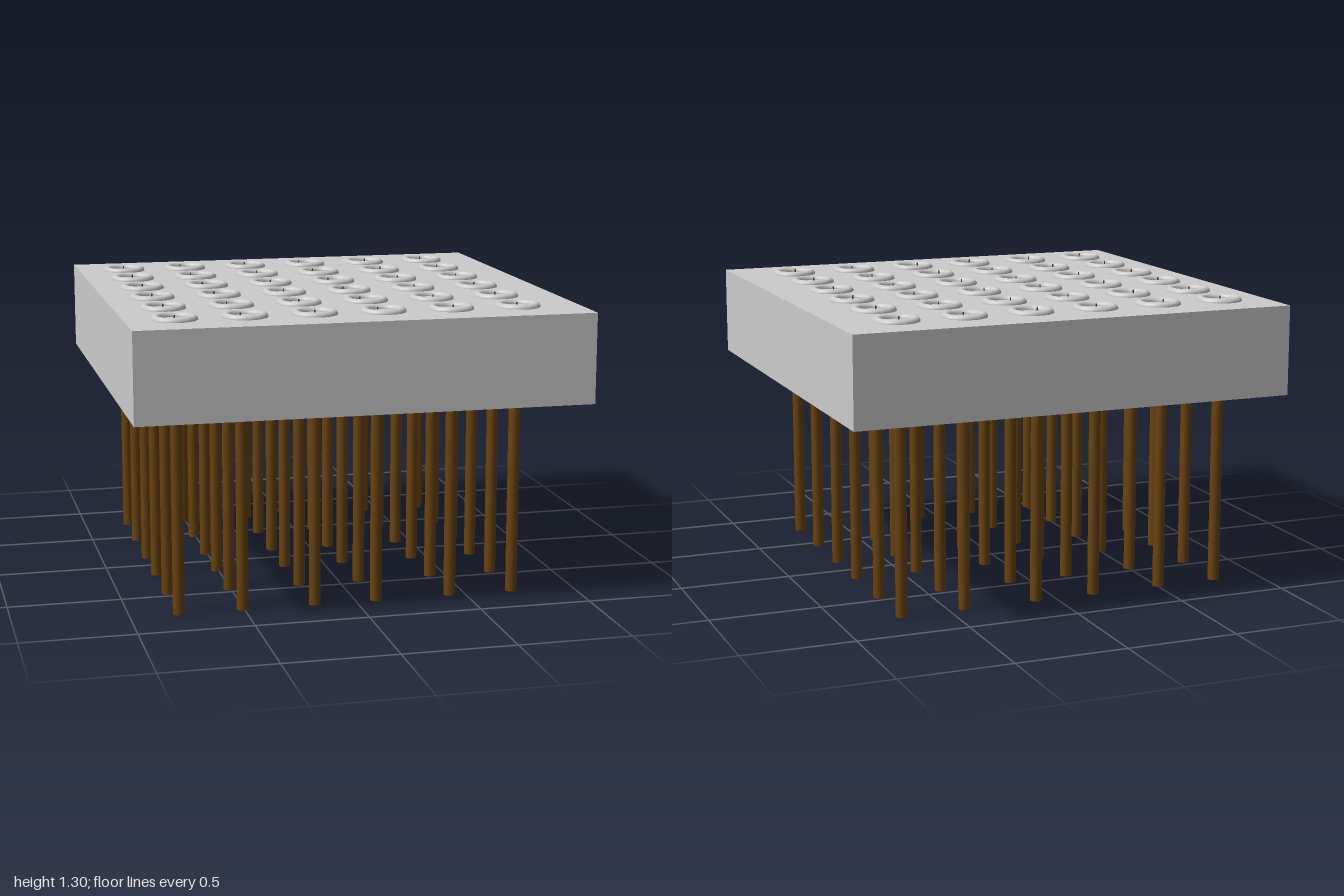
import * as THREE from 'three';

export function createModel() {
  const model = new THREE.Group();
  const grey = new THREE.MeshStandardMaterial({ color: 0xcccccc });
  const brown = new THREE.MeshStandardMaterial({ color: 0x68420f });

  const bottom = 0.885, top = 1.283;

  // Column and row positions of the sockets, and of the slightly uneven legs
  const ringX = [-0.785, -0.484, -0.182, 0.12, 0.423, 0.725];
  const ringZ = [-0.75, -0.45, -0.15, 0.15, 0.45, 0.75];
  const pinX = [-0.787, -0.507, -0.185, 0.091, 0.429, 0.717];
  const pinZ = [-0.752, -0.452, -0.136, 0.15, 0.457, 0.762];

  const add = (name, geometry, material, x, y, z) => {
    const mesh = new THREE.Mesh(geometry, material);
    mesh.name = name;
    mesh.position.set(x, y, z);
    model.add(mesh);
  };

  // Square slab
  add('block', new THREE.BoxGeometry(2, top - bottom, 2), grey, 0, (top + bottom) / 2, 0);

  // Raised rings half sunk in the slab, round legs, and fine tips at the ring centres
  const ring = new THREE.TorusGeometry(0.081, 0.019, 12, 32).rotateX(Math.PI / 2);
  const leg = new THREE.CylinderGeometry(0.026, 0.026, bottom + 0.02, 20);
  const tip = new THREE.CylinderGeometry(0.003, 0.003, 0.04, 8);

  for (let i = 0; i < 6; i++) {
    for (let j = 0; j < 6; j++) {
      add('socketRing', ring, grey, ringX[i], top, ringZ[j]);
      add('leg', leg, brown, pinX[i], (bottom + 0.02) / 2, pinZ[j]);
      add('legTip', tip, brown, pinX[i], top, pinZ[j]);
    }
  }
  return model;
}
